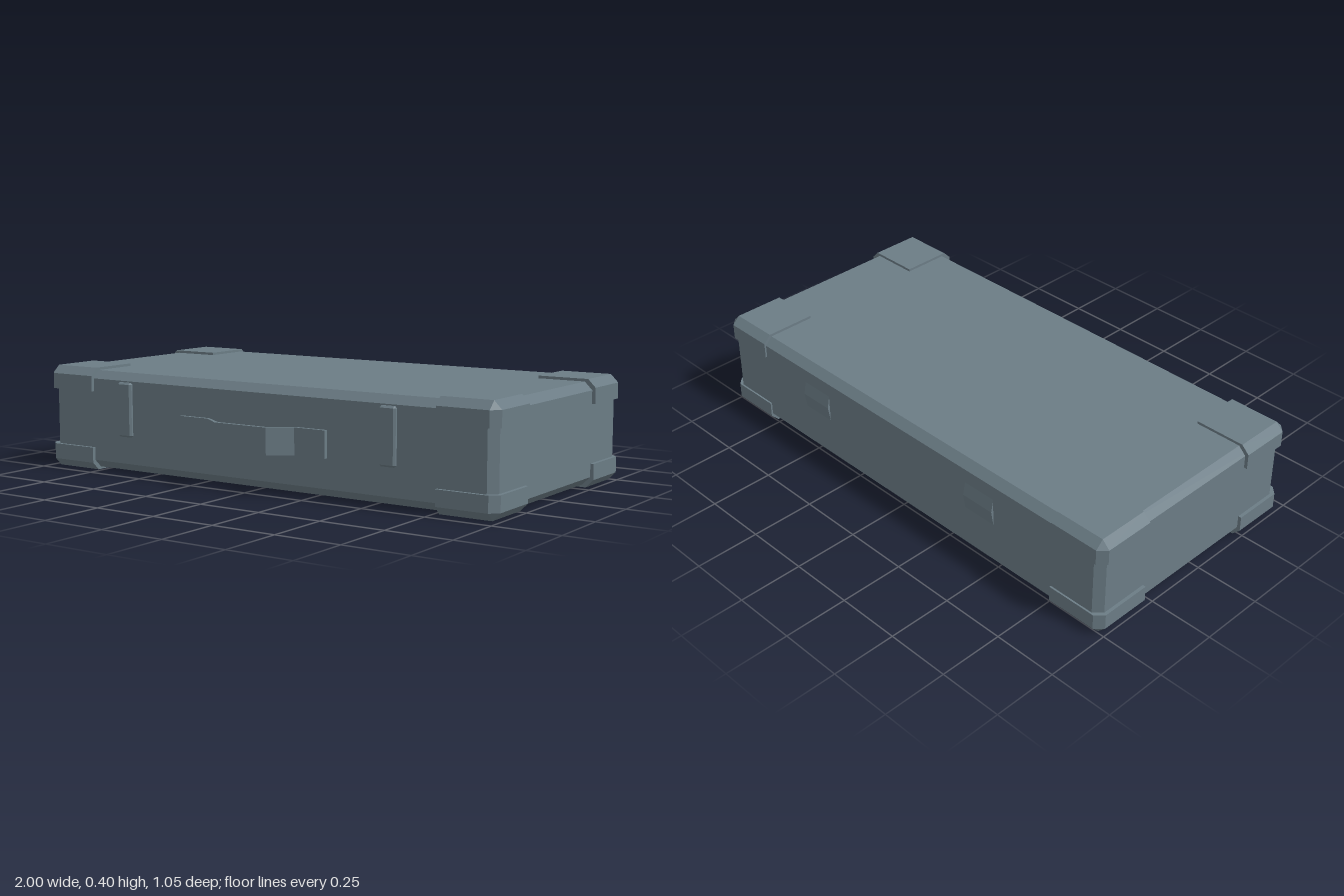
import * as THREE from 'three';
import { ConvexGeometry } from 'three/addons/geometries/ConvexGeometry.js';

// Box between two corners; edges where two "outer" sides meet are chamfered by c.
// outer(axis, sign) tells whether that side is an outer one.
function chamferedBox(min, max, c, outer = () => true) {
  const points = [];
  for (const sx of [-1, 1]) for (const sy of [-1, 1]) for (const sz of [-1, 1]) {
    const s = [sx, sy, sz];
    const full = s.map((v, i) => (v < 0 ? min[i] : max[i]));
    const out = s.map((v, i) => outer(i, v));
    if (!out.includes(true)) points.push(new THREE.Vector3(...full));
    for (let k = 0; k < 3; k++) {
      if (!out[k]) continue;
      points.push(new THREE.Vector3(...full.map((v, i) => (i !== k && out[i] ? v - s[i] * c : v))));
    }
  }
  return new ConvexGeometry(points);
}

function polygon(points) {
  return new THREE.Shape(points.map(([a, b]) => new THREE.Vector2(a, b)));
}

export function createModel() {
  const group = new THREE.Group();
  const grey = new THREE.MeshStandardMaterial({ color: 0x6b7c85 });
  grey.name = 'slate grey';

  const add = (name, geometry) => {
    const mesh = new THREE.Mesh(geometry, grey);
    mesh.name = name;
    group.add(mesh);
    return mesh;
  };

  // Case body
  add('caseBody', chamferedBox([-0.985, 0.01, -0.515], [0.985, 0.39, 0.45], 0.03));

  // Eight protective corner caps
  for (const sx of [-1, 1]) for (const top of [-1, 1]) for (const sz of [-1, 1]) {
    const x = sx > 0 ? [0.768, 0.998] : [-0.998, -0.768];
    const y = top > 0 ? [0.31, 0.4] : [0, 0.09];
    const z = sz > 0 ? [0.235, 0.463] : [-0.522, -0.29];
    const side = [sx, top, sz];
    add(`${top > 0 ? 'upper' : 'lower'}${sz > 0 ? 'Front' : 'Back'}${sx > 0 ? 'Left' : 'Right'}Corner`,
      chamferedBox([x[0], y[0], z[0]], [x[1], y[1], z[1]], 0.03, (axis, s) => s === side[axis]));
  }

  // Front latches: bars with bevelled sides
  for (const [name, x] of [['rightLatch', -0.603], ['leftLatch', 0.577]]) {
    add(name, chamferedBox([x - 0.033, 0.145, 0.44], [x + 0.033, 0.355, 0.464], 0.007,
      (axis, s) => axis !== 2 || s > 0));
  }

  // Carrying handle: a bent strap
  const strap = [
    [-0.325, 0.449], [-0.2, 0.449], [-0.11, 0.51], [0.11, 0.51], [0.2, 0.449], [0.325, 0.449],
    [0.325, 0.464], [0.195, 0.464], [0.115, 0.525], [-0.115, 0.525], [-0.195, 0.464], [-0.325, 0.464],
  ];
  const handle = add('handle', new THREE.ExtrudeGeometry(polygon(strap), { depth: 0.1, bevelEnabled: false }));
  handle.rotation.x = Math.PI / 2;
  handle.position.y = 0.25;

  // Back hinges: plates with a shallow ridged profile
  const ridge = [[0.505, 0.19], [0.515, 0.195], [0.525, 0.255], [0.515, 0.305], [0.505, 0.31]];
  for (const [name, x] of [['rightHinge', -0.42], ['leftHinge', 0.46]]) {
    const hinge = add(name, new THREE.ExtrudeGeometry(polygon(ridge), { depth: 0.14, bevelEnabled: false }));
    hinge.rotation.y = Math.PI / 2;
    hinge.position.x = x - 0.07;
  }

  return group;
}
